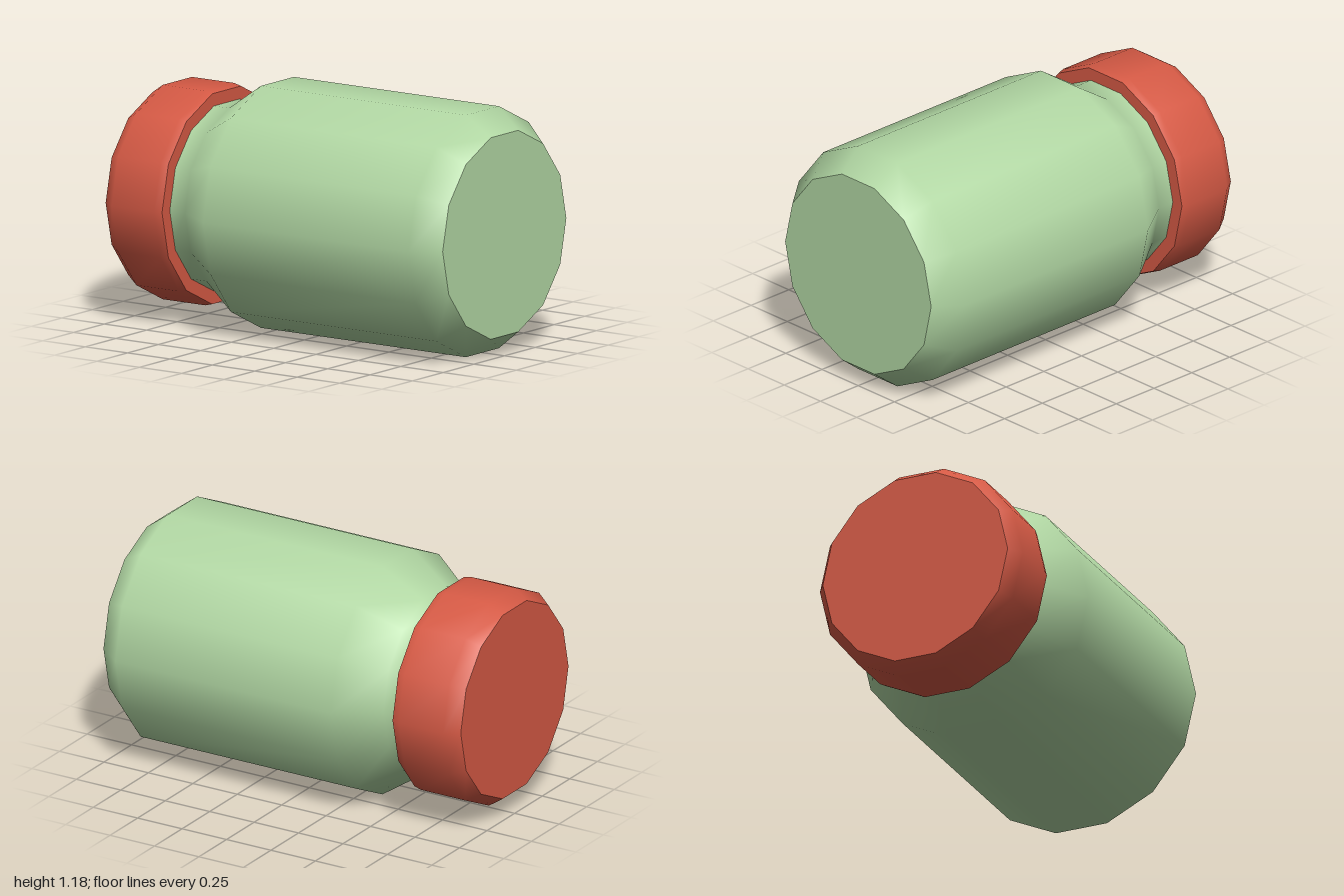
import * as THREE from 'three';

const SIDES = 14;
const CENTER_Y = 0.59;

// Lathe a profile of [radius, z] points around a horizontal axis running along z.
function turned(name, profile, material) {
  const points = profile.map(([r, z]) => new THREE.Vector2(r, z));
  const geometry = new THREE.LatheGeometry(points, SIDES, Math.PI / 2);
  geometry.rotateX(Math.PI / 2);
  const mesh = new THREE.Mesh(geometry, material);
  mesh.name = name;
  return mesh;
}

export function createModel() {
  const glass = new THREE.MeshStandardMaterial({ color: 0xb2d8a4 });
  glass.name = 'pale green';
  const red = new THREE.MeshStandardMaterial({ color: 0xd65a45 });
  red.name = 'lid red';

  // Jar lying on its side: neck, shoulder, straight wall and bevelled base
  const jar = new THREE.Group();
  jar.name = 'jar';
  jar.add(
    turned('jarWall', [[0.463, -0.66], [0.463, -0.55], [0.605, -0.34], [0.605, 0.87], [0.504, 1]], glass),
    turned('jarBase', [[0.504, 1], [0, 1]], glass),
  );

  // Screw lid: flat outer face, rounded rim and underside ring around the neck
  const lid = new THREE.Group();
  lid.name = 'lid';
  lid.add(
    turned('lidFace', [[0, -1], [0.488, -1]], red),
    turned('lidRim', [[0.488, -1], [0.536, -0.93], [0.536, -0.68], [0.526, -0.64]], red),
    turned('lidUnderside', [[0.526, -0.64], [0.44, -0.64]], red),
  );

  const model = new THREE.Group();
  model.name = 'bottle';
  model.add(jar, lid);
  model.position.y = CENTER_Y;
  const root = new THREE.Group();
  root.add(model);
  return root;
}
